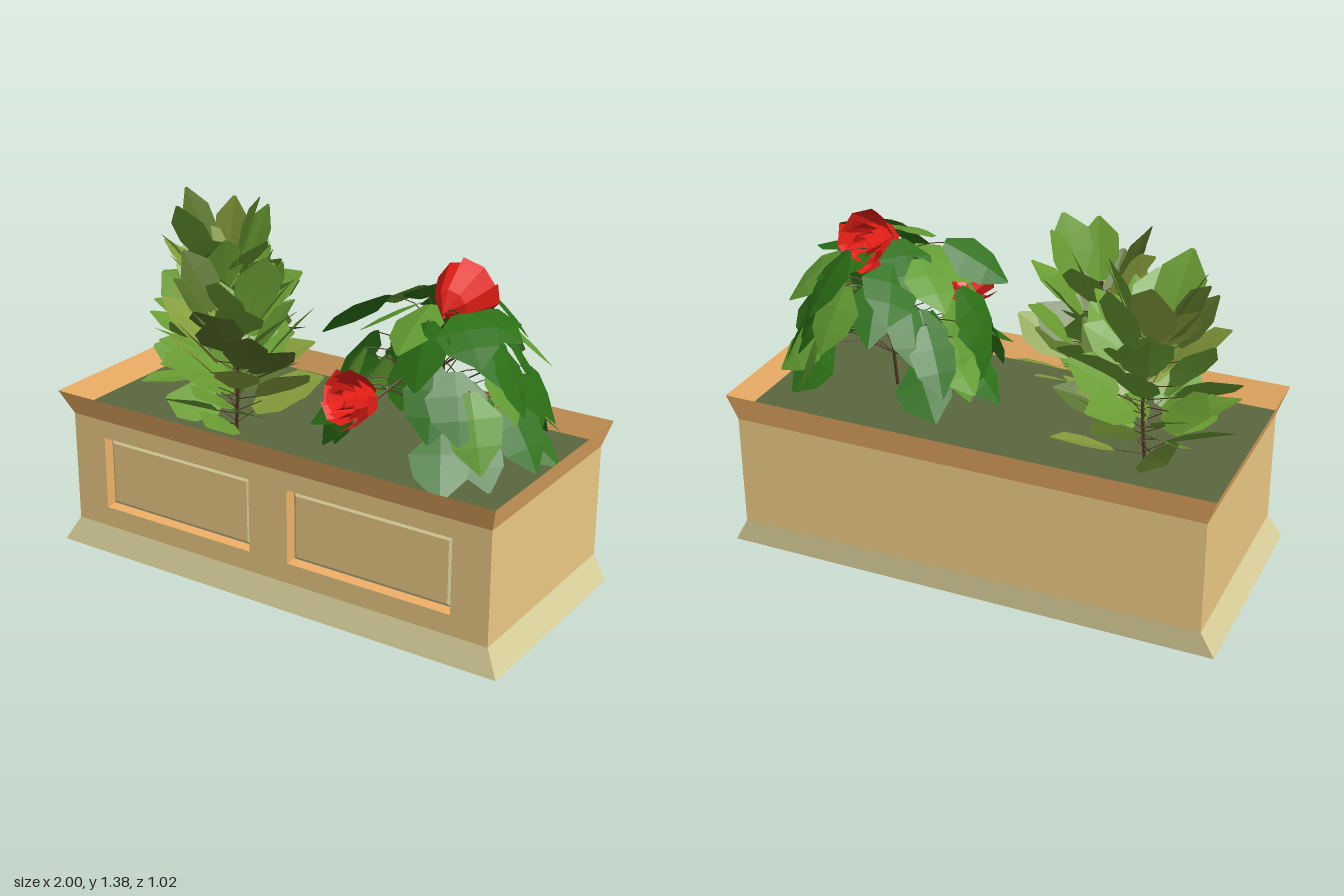
import * as THREE from 'three';

const mat = (color) => new THREE.MeshStandardMaterial({ color, flatShading: true, side: THREE.DoubleSide });
const MAT = {
  body: mat(0xebc984), base: mat(0xd9d09a), rim: mat(0xeeb066), soil: mat(0x5a673e),
  stem: mat(0x4a3620), leafA: mat(0x6a9c32), leafB: mat(0x869e3c), leafC: mat(0x567028),
  roseDark: mat(0x2c7016), roseLight: mat(0x629c32), petal: mat(0xe41e16),
};
const V = (x, y, z) => new THREE.Vector3(x, y, z);

let seed = 7;
const rand = (a, b) => {
  seed = (seed * 16807) % 2147483647;
  return a + (b - a) * (seed / 2147483647);
};

function add(parent, name, geometry, material) {
  const mesh = new THREE.Mesh(geometry, material);
  mesh.name = name;
  parent.add(mesh);
  return mesh;
}

// Skin between four-cornered rings; sides lists which of the four to build
function loft(rings, cap = false, sides = [0, 1, 2, 3]) {
  const p = [];
  const quad = (a, b, c, d) => [a, b, c, a, c, d].forEach((v) => p.push(v.x, v.y, v.z));
  for (let i = 0; i + 1 < rings.length; i++) {
    const a = rings[i], b = rings[i + 1];
    for (const s of sides) quad(a[s], a[(s + 1) % 4], b[(s + 1) % 4], b[s]);
  }
  if (cap) quad(...rings[rings.length - 1]);
  const g = new THREE.BufferGeometry();
  g.setAttribute('position', new THREE.Float32BufferAttribute(p, 3));
  g.computeVertexNormals();
  return g;
}
const level = (y, x, back, front) => [V(-x, y, front), V(x, y, front), V(x, y, back), V(-x, y, back)];
const upright = (x0, x1, y0, y1, inset, z) => [
  V(x0 + inset, y0 + inset, z), V(x1 - inset, y0 + inset, z),
  V(x1 - inset, y1 - inset, z), V(x0 + inset, y1 - inset, z)];

function planter() {
  const g = new THREE.Group();
  g.name = 'planter';
  const foot = level(0, 1, -0.48, 0.42), low = level(0.1, 0.945, -0.48, 0.385);
  const high = level(0.56, 0.945, -0.48, 0.385), lip = level(0.665, 0.98, -0.5, 0.435);
  add(g, 'baseSkirt', loft([foot, low]), MAT.base);
  add(g, 'underside', loft([[...foot].reverse()], true), MAT.body);
  add(g, 'sideAndBackWalls', loft([low, high], false, [1, 2, 3]), MAT.body);
  add(g, 'flaredRim', loft([high, lip]), MAT.rim);
  add(g, 'soil', loft([level(0.575, 0.947, -0.48, 0.389)], true), MAT.soil);

  // Front wall with two sunken, bevelled panels
  const wall = new THREE.Shape([[-0.945, 0.1], [0.945, 0.1], [0.945, 0.56], [-0.945, 0.56]].map((c) => new THREE.Vector2(...c)));
  for (const x0 of [-0.795, 0.085]) {
    const ring = (inset, z) => upright(x0, x0 + 0.705, 0.183, 0.487, inset, z);
    wall.holes.push(new THREE.Path(ring(0, 0).map((v) => new THREE.Vector2(v.x, v.y))));
    add(g, 'panelGroove', loft([ring(0, 0.385), ring(0.01, 0.35)]), MAT.rim);
    add(g, 'panelBevel', loft([ring(0.01, 0.35), ring(0.026, 0.362)]), MAT.base);
    add(g, 'frontPanel', loft([ring(0.026, 0.362)], true), MAT.body);
  }
  add(g, 'frontWall', new THREE.ShapeGeometry(wall), MAT.body).position.z = 0.385;
  return g;
}

// Unit leaf along +z: a plane narrowed at both ends, folded on its midrib and drooping
function leafGeometry(halfWidths, fold, droop) {
  const g = new THREE.PlaneGeometry(1, 1, 2, halfWidths.length - 1);
  const p = g.attributes.position;
  for (let i = 0; i < p.count; i++) {
    const t = 0.5 - p.getY(i), w = halfWidths[Math.floor(i / 3)];
    const x = p.getX(i) * 2 * w;
    p.setXYZ(i, x, Math.abs(x) * fold - droop * t * t, t);
  }
  g.computeVertexNormals();
  return g;
}
const shrubLeaf = leafGeometry([0.15, 0.46, 0.46, 0.04], 0.06, 0.04);
const roseLeaf = leafGeometry([0.12, 0.48, 0.4, 0.03], -0.1, 0.16);

function leaf(parent, geometry, material, at, yaw, pitch, roll, width, length) {
  const m = add(parent, 'leaf', geometry, material);
  m.position.copy(at);
  m.rotation.set(-pitch, yaw, rand(-roll, roll), 'YXZ');
  m.scale.set(width, length, length);
}

function stem(parent, name, points, radius) {
  add(parent, name, new THREE.TubeGeometry(new THREE.CatmullRomCurve3(points), 5, radius, 5), MAT.stem);
}

// Upright shrub: low leaves spread out, high leaves stand up
function shrub(x, z, top, count) {
  const g = new THREE.Group();
  g.name = 'leafyShrub';
  stem(g, 'shrubStem', [V(x, 0.57, z), V(x + 0.02, 0.8, z + 0.01), V(x, top - 0.25, z)], 0.007);
  for (let i = 0; i < count; i++) {
    const t = i / (count - 1), yaw = i * 2.4 + rand(-0.4, 0.4), r = rand(0.05, 0.15) * (1 - 0.3 * t);
    const y = 0.64 + t * (top - 0.89);
    const at = V(x + Math.sin(yaw) * r, y, z + Math.cos(yaw) * r);
    stem(g, 'twig', [V(x, y - 0.04, z), at], 0.002);
    const material = [MAT.leafA, MAT.leafB, MAT.leafA, MAT.leafA, MAT.leafC][i % 5];
    leaf(g, shrubLeaf, material, at, yaw, 0.2 + t * 0.85 + rand(-0.2, 0.3), 0.7, rand(0.16, 0.2), rand(0.22, 0.27));
  }
  return g;
}

// Bloom: nested rings of cupped petals, opening along the given axis
function bloom(at, axis, size) {
  const g = new THREE.Group();
  g.name = 'redBloom';
  for (let ring = 0; ring < 3; ring++) {
    const k = 0.4 + ring * 0.3;
    const profile = [[0.03, 0], [0.4 * k, 0.35], [0.62 * k, 0.9], [0.72 * k, 1.4 - ring * 0.1]]
      .map((c) => new THREE.Vector2(c[0] * size, c[1] * size));
    for (let i = 0; i < 5; i++) {
      const petal = add(g, 'petal', new THREE.LatheGeometry(profile, 2, 0, 1.5), MAT.petal);
      petal.rotation.set(0.05 * ring, i * 1.257 + ring * 0.6, 0.06, 'YXZ');
    }
  }
  g.position.copy(at);
  g.quaternion.setFromUnitVectors(V(0, 1, 0), axis.normalize());
  return g;
}

// Flowering bush: a wide canopy of broad drooping leaves, parted in the middle lower down
function roseBush(x, z) {
  const g = new THREE.Group();
  g.name = 'floweringBush';
  const rings = [ // leaves, base radius, base height, pitch, parting
    [5, 0.08, 1.2, -0.2, 0], [11, 0.2, 1.18, -0.5, 0], [12, 0.27, 1.06, -0.85, 0.2],
    [14, 0.32, 0.93, -1.0, 0.3], [12, 0.27, 0.83, -0.6, 0.35], [9, 0.2, 1.0, -1.1, 0.35]];
  stem(g, 'bushStem', [V(x, 0.57, z), V(x + 0.02, 0.85, z), V(x, 1.16, z)], 0.007);
  rings.forEach(([count, r, y, pitch, parting], ring) => {
    for (let i = 0; i < count; i++) {
      const yaw = ((i + 0.5 * (ring % 2)) / count) * Math.PI * 2 + rand(-0.25, 0.25);
      const reach = r + 0.12;
      const hidesBloom = Math.hypot(x + Math.sin(yaw) * reach - 0.34, z + Math.cos(yaw) * reach - 0.34) < 0.15;
      if (hidesBloom || Math.abs(Math.sin(yaw)) < parting) continue;
      const at = V(x + Math.sin(yaw) * r, y + rand(-0.05, 0.05), z + Math.cos(yaw) * r);
      stem(g, 'branch', [V(x, y - 0.12, z), V((x + at.x) / 2, at.y - 0.02, (z + at.z) / 2), at], 0.002);
      leaf(g, roseLeaf, (i + ring) % 4 === 0 ? MAT.roseLight : MAT.roseDark, at, yaw,
        pitch + rand(-0.2, 0.2), 0.45, rand(0.2, 0.25), rand(0.24, 0.29));
    }
  });
  g.add(bloom(V(0.55, 1.18, 0.07), V(0.04, 0.2, -1), 0.16));
  g.add(bloom(V(0.37, 0.86, 0.24), V(-0.15, 0.3, 0.9), 0.14));
  stem(g, 'flowerStem', [V(x, 1, z), V(0.42, 0.92, 0.12), V(0.37, 0.86, 0.24)], 0.005);
  return g;
}

export function createModel() {
  const model = new THREE.Group();
  model.name = 'planterBoxWithPlants';
  model.add(planter(), shrub(-0.61, -0.19, 1.39, 50), shrub(-0.28, 0.2, 1.33, 46), roseBush(0.5, 0));
  return model;
}
